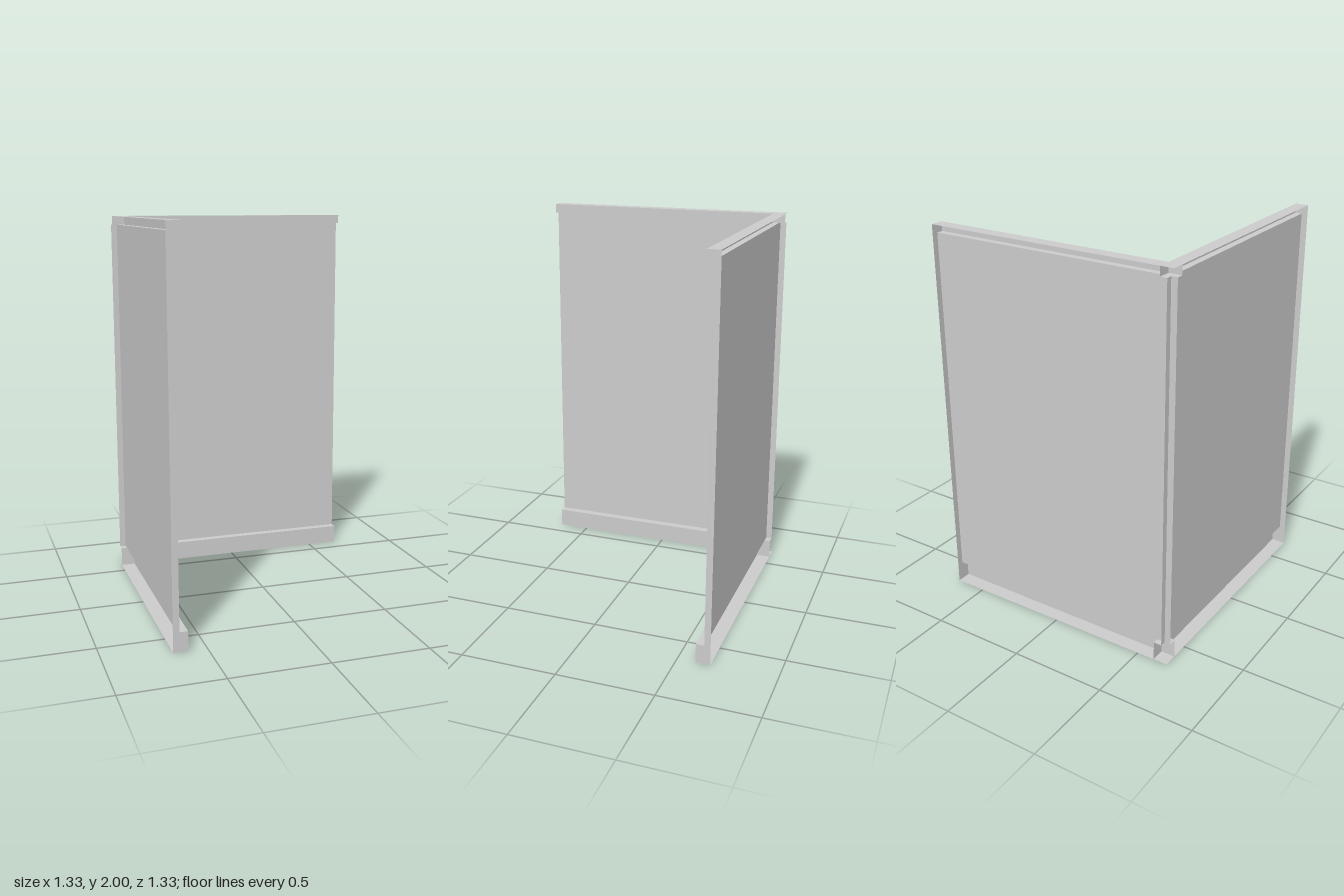
import * as THREE from 'three';

const HALF = 0.667;
const material = new THREE.MeshStandardMaterial({ color: 0xcccccc, side: THREE.DoubleSide });

// Wall profile as [depth from the outer plane, height]; the back stays open
const baseboard = [[0, 0], [0.074, 0], [0.074, 0.1], [0.032, 0.1]];
const panel = [[0.032, 0.1], [0.032, 1.953]];
const crown = [[0.032, 1.953], [0.067, 1.953], [0.067, 2], [0, 2]];

// Sweeps an open profile along x with hard edges
function strip(name, profile) {
  const positions = [];
  for (let i = 0; i < profile.length - 1; i++) {
    const [[da, ya], [db, yb]] = [profile[i], profile[i + 1]];
    const a = [-HALF, ya, da], b = [HALF, ya, da];
    const c = [HALF, yb, db], d = [-HALF, yb, db];
    positions.push(...a, ...b, ...c, ...a, ...c, ...d);
  }
  const geometry = new THREE.BufferGeometry();
  geometry.setAttribute('position', new THREE.Float32BufferAttribute(positions, 3));
  geometry.computeVertexNormals();
  const mesh = new THREE.Mesh(geometry, material);
  mesh.name = name;
  return mesh;
}

// Closes one free end of the wall; side is +1 or -1 along x
function endCap(side) {
  const outline = [...baseboard, ...crown].map(([d, y]) => new THREE.Vector2(-side * d, y));
  const geometry = new THREE.ShapeGeometry(new THREE.Shape(outline));
  geometry.rotateY(side * Math.PI / 2).translate(side * HALF, 0, 0);
  const mesh = new THREE.Mesh(geometry, material);
  mesh.name = 'endCap';
  return mesh;
}

// One hollow wall: baseboard, recessed panel, crown moulding and end cap
function wall(name, capSide, angle) {
  const inner = new THREE.Group();
  inner.name = name + 'Parts';
  inner.add(strip('baseboard', baseboard), strip('panel', panel), strip('crownMoulding', crown), endCap(capSide));
  inner.position.z = -HALF;
  const group = new THREE.Group();
  group.name = name;
  group.add(inner);
  group.rotation.y = angle;
  return group;
}

export function createModel() {
  const model = new THREE.Group();
  model.name = 'roomCorner';
  // The walls run through each other at the shared corner
  model.add(wall('backWall', 1, 0), wall('sideWall', -1, Math.PI / 2));
  return model;
}
